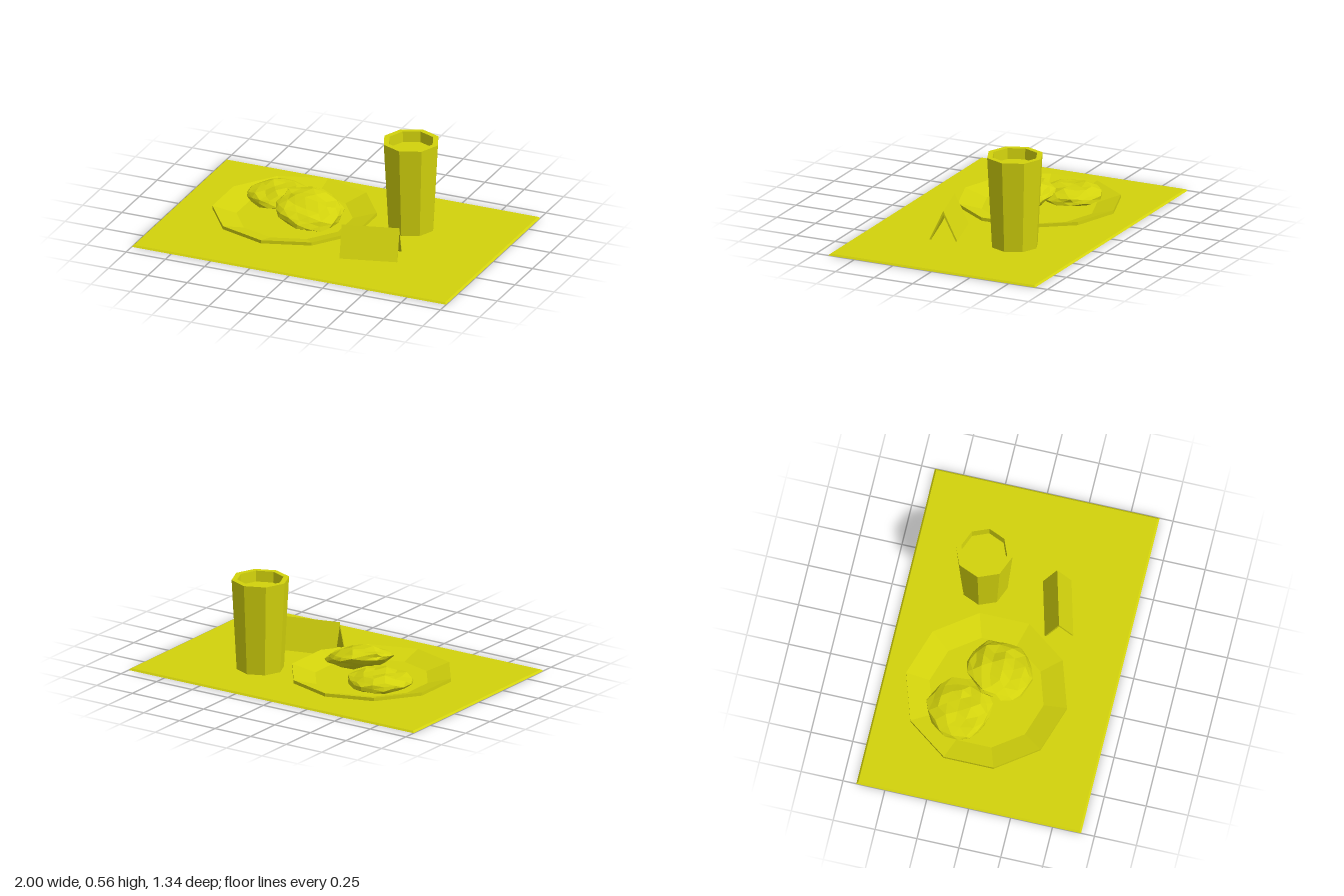
import * as THREE from 'three';
import { mergeVertices } from 'three/addons/utils/BufferGeometryUtils.js';

const olive = new THREE.MeshStandardMaterial({ name: 'oliveYellow', color: 0xd2d20c });

// Faceted mesh with one normal per face
function part(name, geometry, x = 0, y = 0, z = 0) {
  const g = geometry.index ? geometry.toNonIndexed() : geometry;
  g.computeVertexNormals();
  const mesh = new THREE.Mesh(g, olive);
  mesh.name = name;
  mesh.position.set(x, y, z);
  return mesh;
}

function lathe(points, sides) {
  return new THREE.LatheGeometry(points.map(([r, y]) => new THREE.Vector2(r, y)), sides);
}

function seeded(seed) {
  return () => {
    seed = (seed * 16807) % 2147483647;
    return seed / 2147483647;
  };
}

// Flattened, craggy lump
function lump(radius, halfHeight, seed) {
  const rand = seeded(seed);
  let g = new THREE.IcosahedronGeometry(1, 2);
  g.deleteAttribute('normal');
  g.deleteAttribute('uv');
  g = mergeVertices(g, 1e-3);
  const p = g.attributes.position;
  for (let i = 0; i < p.count; i++) {
    const wide = radius * (0.92 + 0.14 * rand());
    const tall = halfHeight * (0.78 + 0.45 * rand());
    p.setXYZ(i, p.getX(i) * wide, p.getY(i) * tall, p.getZ(i) * wide);
  }
  return g;
}

export function createModel() {
  const model = new THREE.Group();
  model.name = 'tableSetting';

  // Thin mat with a bevelled upper edge
  const mat = new THREE.BoxGeometry(2, 0.01, 1.34);
  const p = mat.attributes.position;
  for (let i = 0; i < p.count; i++) {
    if (p.getY(i) > 0) {
      p.setX(i, Math.sign(p.getX(i)) * 0.99);
      p.setZ(i, Math.sign(p.getZ(i)) * 0.66);
    }
  }
  model.add(part('placemat', mat, 0, 0.005, 0));

  // Ten-sided plate with a sloping rim
  model.add(part('plate', lathe([
    [0, 0.01], [0.34, 0.01], [0.48, 0.05], [0.48, 0.07], [0.34, 0.03], [0, 0.03],
  ], 10), -0.29, 0, -0.06));

  // Two lumps of food, the second leaning on the first
  model.add(part('foodBack', lump(0.19, 0.055, 421), -0.437, 0.083, -0.19));
  const foodFront = part('foodFront', lump(0.195, 0.06, 977), -0.167, 0.118, -0.005);
  foodFront.rotation.set(0.2, 0, -0.2);
  model.add(foodFront);

  // Eight-sided tumbler, filled nearly to the rim
  model.add(part('tumbler', lathe([
    [0, 0.01], [0.14, 0.01], [0.17, 0.56], [0.137, 0.56], [0.133, 0.495], [0, 0.495],
  ], 8), 0.375, 0, -0.23));

  // Folded tent card, open at both ends
  const chevron = new THREE.Shape([
    [-0.083, 0], [-0.073, 0], [0, 0.155], [0.073, 0], [0.083, 0], [0, 0.18],
  ].map(([x, y]) => new THREE.Vector2(x, y)));
  const tent = new THREE.ExtrudeGeometry(chevron, { depth: 0.34, bevelEnabled: false });
  tent.translate(0, 0, -0.17);
  const card = part('tentCard', tent, 0.32, 0.01, 0.224);
  card.rotation.y = THREE.MathUtils.degToRad(105);
  model.add(card);

  return model;
}
